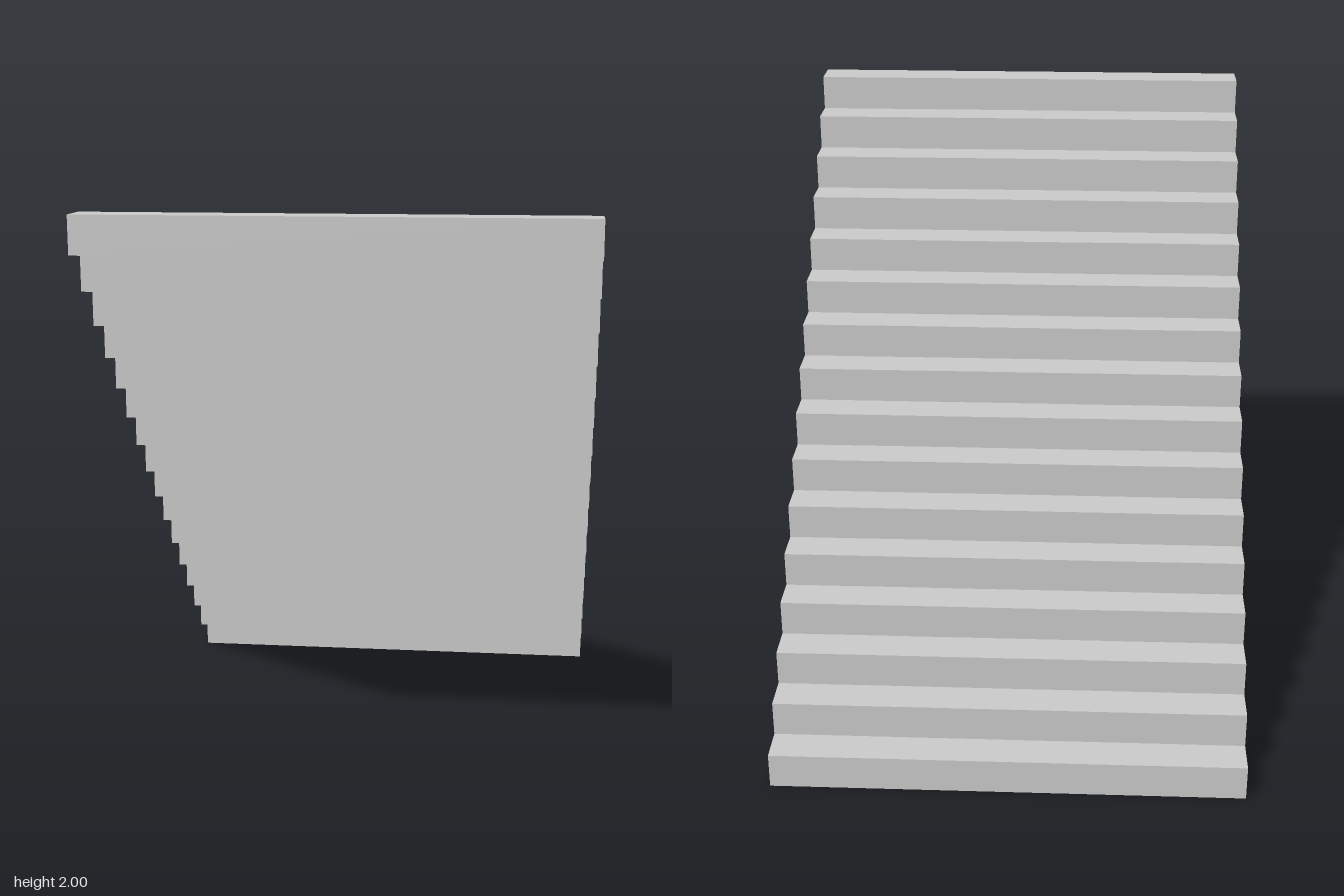
import * as THREE from 'three';

const STEPS = 16;
const SIZE = 2 / STEPS; // rise and depth of each step
const WIDTH = 1.625;

export function createModel() {
  const stairs = new THREE.Group();
  stairs.name = 'staircase';
  const material = new THREE.MeshStandardMaterial({ color: 0xcccccc, flatShading: true });
  const geometry = new THREE.BoxGeometry(WIDTH, SIZE, SIZE);

  // Square steps touching edge to edge, climbing from back to front
  for (let i = 0; i < STEPS; i++) {
    const step = new THREE.Mesh(geometry, material);
    step.name = `step${i + 1}`;
    step.position.set(0, (i + 0.5) * SIZE, -1 + (i + 0.5) * SIZE);
    stairs.add(step);
  }
  return stairs;
}
